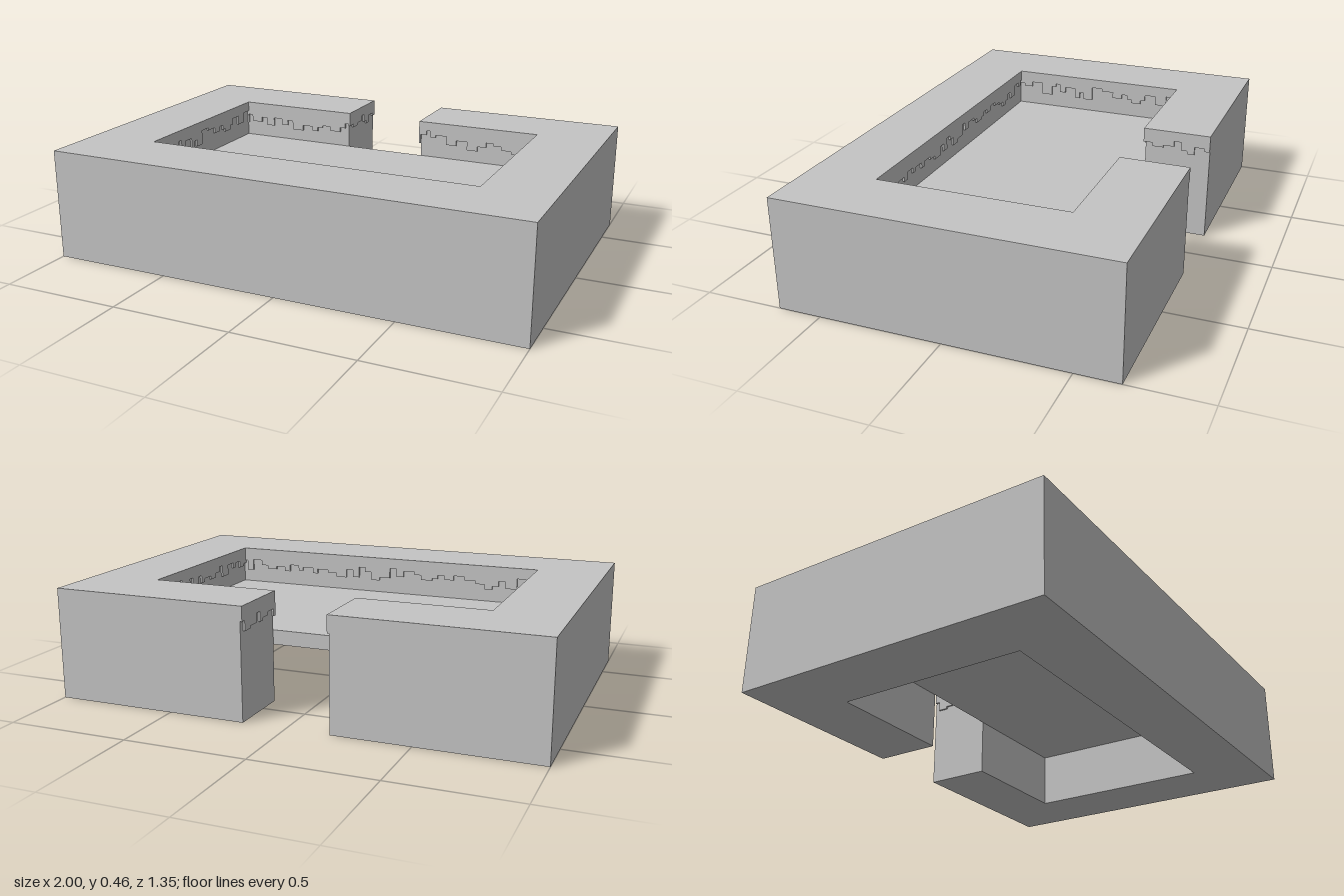
import * as THREE from 'three';

const HEIGHT = 0.46, OUT_X = 1, OUT_Z = 0.677;
const IN_X = 0.72, IN_Z = 0.4, GAP = 0.18;
const LIP = 0.008;

export function createModel() {
  const group = new THREE.Group();
  const stone = new THREE.MeshStandardMaterial({ color: 0xc4c4c4 });
  stone.name = 'light grey';

  const add = (name, geometry) => {
    const mesh = new THREE.Mesh(geometry, stone);
    mesh.name = name;
    group.add(mesh);
    return mesh;
  };

  // Thick wall around the courtyard, open in the middle of the back
  const plan = new THREE.Shape([
    [GAP, OUT_Z], [GAP, IN_Z], [IN_X, IN_Z], [IN_X, -IN_Z],
    [-IN_X, -IN_Z], [-IN_X, IN_Z], [-GAP, IN_Z], [-GAP, OUT_Z],
    [-OUT_X, OUT_Z], [-OUT_X, -OUT_Z], [OUT_X, -OUT_Z], [OUT_X, OUT_Z],
  ].map(([x, y]) => new THREE.Vector2(x, y)));
  const wall = new THREE.ExtrudeGeometry(plan, { depth: HEIGHT, bevelEnabled: false });
  add('wall', wall.rotateX(-Math.PI / 2));

  // Raised courtyard floor, hollow underneath
  add('floor', new THREE.BoxGeometry(IN_X * 2, 0.06, IN_Z * 2)).position.y = 0.27;

  // Thin overhang with a ragged, stepped lower edge
  let seed = 7;
  const random = () => (seed = (seed * 16807) % 2147483647) / 2147483647;
  const overhang = (name, length, x, z, turn) => {
    const shape = new THREE.Shape();
    shape.moveTo(-length / 2, HEIGHT);
    let at = -length / 2, drop = 0.06;
    while (at < length / 2) {
      shape.lineTo(at, HEIGHT - drop);
      at = Math.min(at + 0.02 + 0.035 * random(), length / 2);
      shape.lineTo(at, HEIGHT - drop);
      let next = drop;
      while (Math.abs(next - drop) < 0.01) next = 0.04 + 0.07 * random();
      drop = next;
    }
    shape.lineTo(length / 2, HEIGHT);
    const mesh = add(name, new THREE.ExtrudeGeometry(shape, { depth: LIP, bevelEnabled: false }));
    mesh.position.set(x, 0, z);
    mesh.rotation.y = turn;
  };

  overhang('frontOverhang', IN_X * 2, 0, IN_Z, Math.PI);
  for (const side of [-1, 1]) {
    const label = side > 0 ? 'left' : 'right';
    const backStart = GAP - LIP, gapEnd = IN_Z - LIP;
    overhang(label + 'SideOverhang', IN_Z * 2, side * IN_X, 0, -side * Math.PI / 2);
    overhang(label + 'BackOverhang', IN_X - backStart, side * (IN_X + backStart) / 2, -IN_Z, 0);
    overhang(label + 'GateOverhang', OUT_Z - gapEnd, side * GAP, -(OUT_Z + gapEnd) / 2, -side * Math.PI / 2);
  }
  return group;
}
